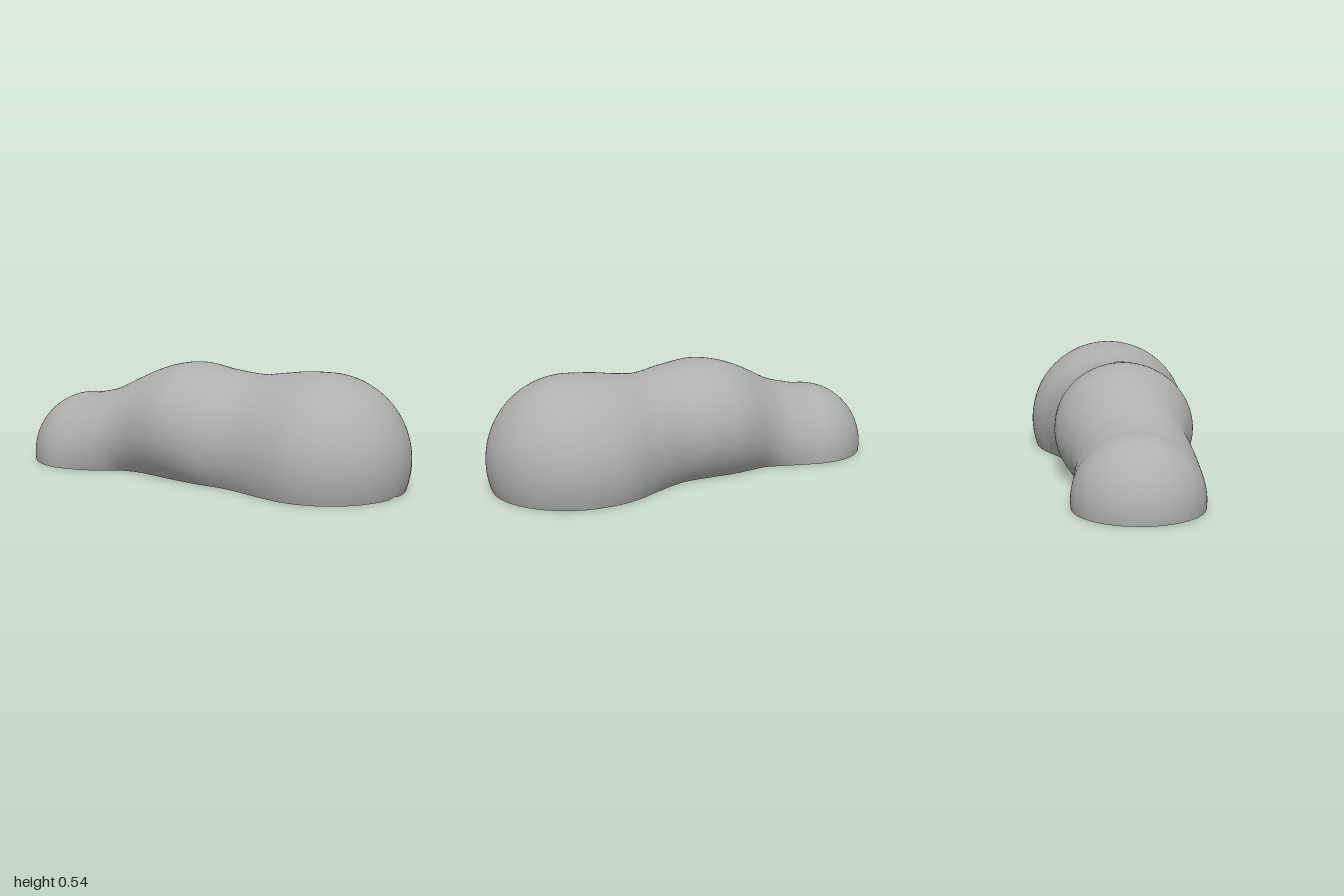
import * as THREE from 'three';
import { toCreasedNormals } from 'three/addons/utils/BufferGeometryUtils.js';

// Cross-sections along the body: z, left x, right x, top y, centre y
const SECTIONS = [
  [-0.695, -0.468, 0.142, 0.342, 0.037],
  [-0.6, -0.452, 0.14, 0.359, 0.064],
  [-0.5, -0.425, 0.14, 0.388, 0.11],
  [-0.4, -0.386, 0.167, 0.44, 0.172],
  [-0.3, -0.378, 0.22, 0.49, 0.205],
  [-0.2, -0.388, 0.26, 0.525, 0.222],
  [-0.08, -0.397, 0.276, 0.542, 0.228],
  [0.08, -0.375, 0.283, 0.522, 0.206],
  [0.24, -0.331, 0.35, 0.504, 0.172],
  [0.35, -0.325, 0.41, 0.517, 0.153],
  [0.45, -0.334, 0.447, 0.532, 0.142],
  [0.59, -0.345, 0.465, 0.54, 0.135],
];
const AROUND = 72;
const POCKET = { x: 0.04, z: 0.57, radius: 0.285, halfWidth: 0.225, depth: 0.165 };

// Elliptical slices: round caps at both ends, a smooth curve between
function makeSlices() {
  const curve = new THREE.CubicInterpolant(
    SECTIONS.map((s) => s[0]), SECTIONS.flatMap((s) => s.slice(1)), 4);
  curve.settings = { endingStart: THREE.ZeroSlopeEnding, endingEnd: THREE.ZeroSlopeEnding };
  const slices = [];
  const at = (z) => {
    const [left, right, top, cy] = curve.evaluate(z);
    return { z, cx: (left + right) / 2, cy, rx: (right - left) / 2, ry: top - cy };
  };
  const first = SECTIONS[0][0], last = SECTIONS[SECTIONS.length - 1][0];
  const cap = (base, dir, angle) => ({
    ...base,
    z: base.z + dir * base.rx * Math.sin(angle),
    rx: base.rx * Math.cos(angle),
    ry: base.ry * Math.cos(angle),
  });
  const capSteps = 40, midSteps = 80;
  for (let i = capSteps; i > 0; i--) slices.push(cap(at(first), -1, (i / capSteps) * Math.PI / 2));
  for (let i = 0; i <= midSteps; i++) slices.push(at(first + (last - first) * i / midSteps));
  for (let i = 1; i <= capSteps; i++) slices.push(cap(at(last), 1, (i / capSteps) * Math.PI / 2));
  return slices;
}

// Skin over the slices, each cut off at the ground
function skinGeometry(slices) {
  const positions = [], index = [];
  slices.forEach((s, i) => {
    const below = s.ry > s.cy ? Math.asin(s.cy / s.ry) : Math.PI / 2;
    for (let j = 0; j <= AROUND; j++) {
      const a = -below + (Math.PI + 2 * below) * j / AROUND;
      positions.push(s.cx + s.rx * Math.cos(a), Math.max(0, s.cy + s.ry * Math.sin(a)), s.z);
      if (i < slices.length - 1 && j < AROUND) {
        const p = i * (AROUND + 1) + j, q = p + AROUND + 1;
        index.push(p, p + 1, q, p + 1, q + 1, q);
      }
    }
  });
  const g = new THREE.BufferGeometry();
  g.setAttribute('position', new THREE.Float32BufferAttribute(positions, 3));
  g.setIndex(index);
  g.computeVertexNormals();
  return g;
}

// Outline of the flat underside where the slices meet the ground
function baseOutline(slices) {
  const right = [], left = [];
  for (const s of slices) {
    if (s.ry <= s.cy) continue;
    const w = s.rx * Math.sqrt(1 - (s.cy / s.ry) ** 2);
    right.push(new THREE.Vector2(s.cx + w, s.z));
    left.unshift(new THREE.Vector2(s.cx - w, s.z));
  }
  return right.concat(left);
}

// Circle with two flat sides
function pocketOutline() {
  const { x, z, radius, halfWidth } = POCKET;
  const a = Math.acos(halfWidth / radius), steps = 20, points = [];
  for (const start of [a, Math.PI + a]) {
    for (let i = 0; i <= steps; i++) {
      const t = start + (Math.PI - 2 * a) * i / steps;
      points.push(new THREE.Vector2(x + radius * Math.cos(t), z + radius * Math.sin(t)));
    }
  }
  return points;
}

// Inward-facing walls of the pocket
function pocketWallGeometry(points) {
  const positions = [], h = POCKET.depth;
  points.forEach((p, i) => {
    const q = points[(i + 1) % points.length];
    positions.push(p.x, 0, p.y, q.x, 0, q.y, q.x, h, q.y);
    positions.push(p.x, 0, p.y, q.x, h, q.y, p.x, h, p.y);
  });
  const g = new THREE.BufferGeometry();
  g.setAttribute('position', new THREE.Float32BufferAttribute(positions, 3));
  return toCreasedNormals(g, Math.PI / 6);
}

export function createModel() {
  const grey = new THREE.MeshStandardMaterial({ color: 0xb0b0b0 });
  grey.name = 'grey';
  const model = new THREE.Group();
  model.name = 'lobedBody';
  const add = (name, geometry) => {
    const mesh = new THREE.Mesh(geometry, grey);
    mesh.name = name;
    model.add(mesh);
    return mesh;
  };

  const slices = makeSlices();
  add('bodySkin', skinGeometry(slices));

  // Underside with the pocket opening
  const pocket = pocketOutline();
  const base = new THREE.Shape(baseOutline(slices));
  base.holes.push(new THREE.Path(pocket));
  add('underside', new THREE.ShapeGeometry(base).rotateX(Math.PI / 2));

  // Pocket
  add('pocketWalls', pocketWallGeometry(pocket));
  const roof = new THREE.ShapeGeometry(new THREE.Shape(pocket)).rotateX(Math.PI / 2);
  add('pocketRoof', roof).position.y = POCKET.depth;

  return model;
}
